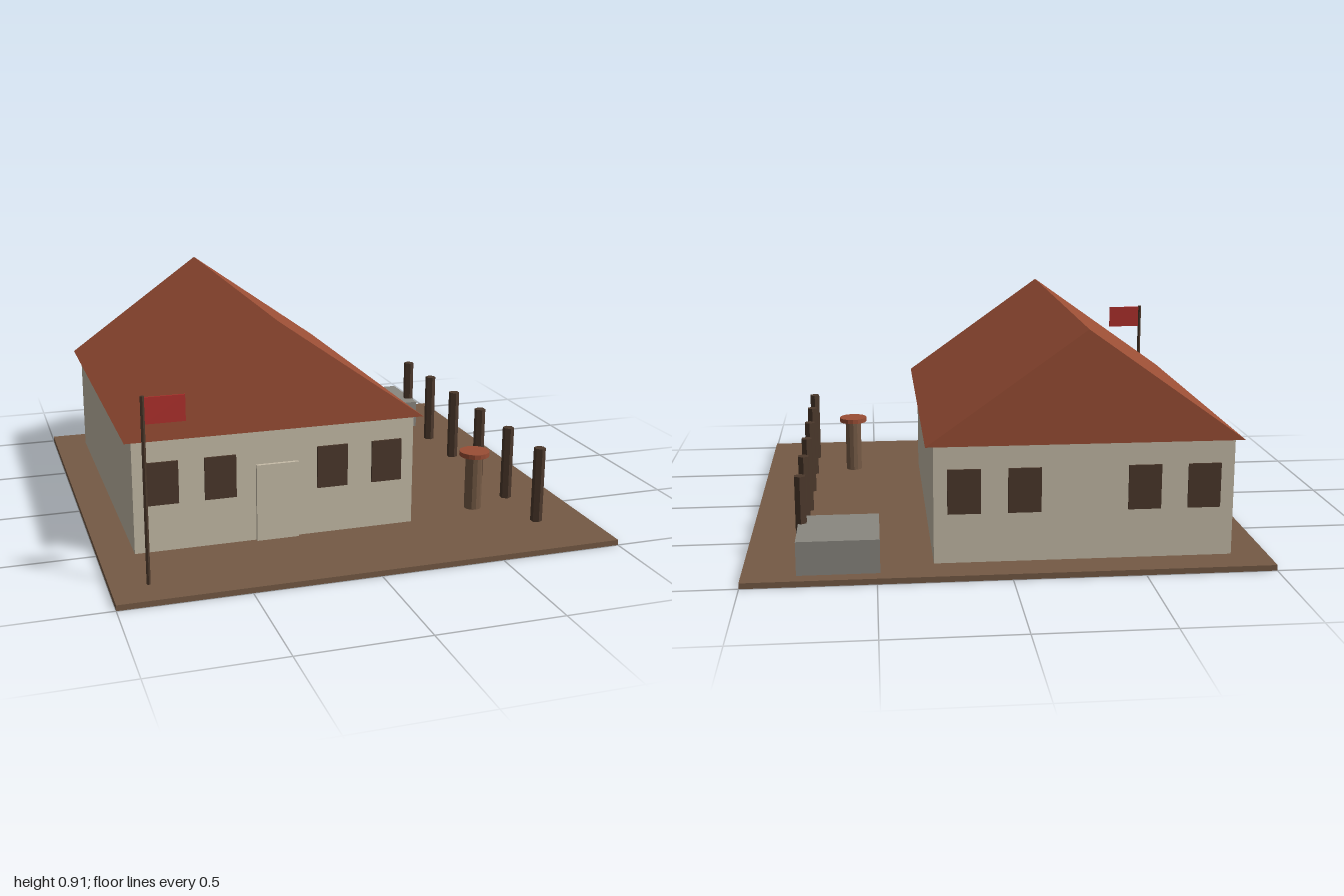
import * as THREE from 'three';

const mat = (name, color) => {
  const m = new THREE.MeshStandardMaterial({ color });
  m.name = name;
  return m;
};

export function createModel() {
  const group = new THREE.Group();
  const earth = mat('earth brown', 0x755a45);
  const plaster = mat('plaster', 0xc6bca8);
  const tile = mat('roof tile', 0x9a4e35);
  const darkWood = mat('dark wood', 0x4b382b);
  const stone = mat('grey stone', 0x8a8780);
  const red = mat('flag red', 0xb0302c);

  const add = (name, geometry, material, x, y, z) => {
    const mesh = new THREE.Mesh(geometry, material);
    mesh.name = name;
    mesh.position.set(x, y, z);
    group.add(mesh);
    return mesh;
  };
  // Box given by its lower and upper limits on each axis
  const box = (name, material, [x0, x1], [y0, y1], [z0, z1]) =>
    add(name, new THREE.BoxGeometry(x1 - x0, y1 - y0, z1 - z0), material,
      (x0 + x1) / 2, (y0 + y1) / 2, (z0 + z1) / 2);
  // Faceted upright cylinder standing from y0 to y1
  const column = (name, material, r, sides, x, y0, y1, z) => {
    const g = new THREE.CylinderGeometry(r, r, y1 - y0, sides).toNonIndexed();
    g.computeVertexNormals();
    return add(name, g, material, x, (y0 + y1) / 2, z);
  };

  const G = 0.022; // ground level
  const midX = -0.287;

  box('ground', earth, [-1, 1], [0, G], [-1, 1]);
  box('houseWalls', plaster, [midX - 0.573, midX + 0.573], [G, 0.482], [-0.86, 0.573]);

  // Gabled roof
  const gable = new THREE.Shape([
    new THREE.Vector2(-0.603, 0),
    new THREE.Vector2(0.603, 0),
    new THREE.Vector2(0, 0.43),
  ]);
  add('roof', new THREE.ExtrudeGeometry(gable, { depth: 1.495, bevelEnabled: false }),
    tile, midX, 0.482, -0.89);

  // Door and the windows at front and back
  box('door', plaster, [midX - 0.086, midX + 0.086], [G, 0.338], [0.573, 0.587]);
  for (const dx of [-0.458, -0.229, 0.229, 0.458]) {
    const xs = [midX + dx - 0.063, midX + dx + 0.063];
    box('frontWindow', darkWood, xs, [0.215, 0.388], [0.573, 0.581]);
    box('backWindow', darkWood, xs, [0.215, 0.388], [-0.867, -0.86]);
  }

  // Row of fence posts
  for (let i = 0; i < 6; i++) {
    column('fencePost', darkWood, 0.024, 6, 0.785, G, 0.338, -0.715 + i * 0.286);
  }

  box('stoneBlock', stone, [0.488, 0.797], [G, 0.152], [-0.943, -0.63]);

  // Round pedestal with a cap
  column('pedestal', earth, 0.036, 12, 0.597, G, 0.255, 0.498);
  column('pedestalCap', tile, 0.063, 16, 0.597, 0.254, 0.274, 0.498);

  // Flag
  column('flagPole', darkWood, 0.008, 6, -0.858, G, 0.737, 0.858);
  box('flag', red, [-0.856, -0.704], [0.633, 0.732], [0.855, 0.861]);

  return group;
}
